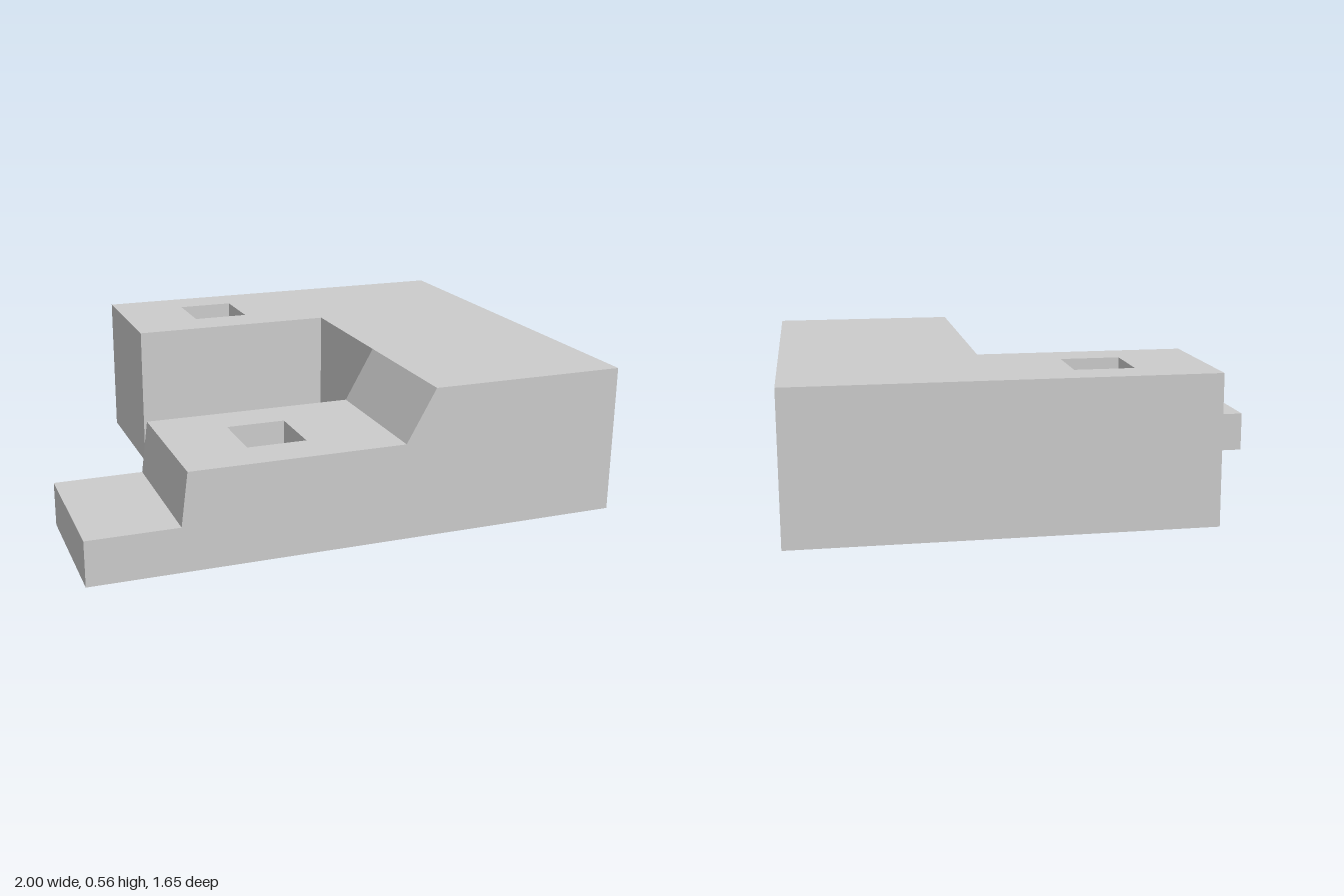
import * as THREE from 'three';

const H = 0.555, STEP = 0.165, DECK = 0.36, POCKET = 0.195, INNER = 0.27, OUTER = 0.825, SPINE = 0.26;

// Plan outline of [x, z] points
const trace = (path, pts) => {
  pts.forEach(([x, z], i) => (i ? path.lineTo(x, -z) : path.moveTo(x, -z)));
  path.closePath();
  return path;
};
const rect = (x0, x1, z0, z1) => [[x0, z0], [x0, z1], [x1, z1], [x1, z0]];

// Raise a plan outline, with an optional hole, from y0 to y1
function slab(pts, y0, y1, hole) {
  const shape = trace(new THREE.Shape(), pts);
  if (hole) shape.holes.push(trace(new THREE.Path(), hole));
  const geo = new THREE.ExtrudeGeometry(shape, { depth: y1 - y0, bevelEnabled: false });
  return geo.rotateX(-Math.PI / 2).translate(0, y0, 0);
}

export function createModel() {
  const group = new THREE.Group();
  const material = new THREE.MeshStandardMaterial({ color: 0xcccccc });
  const add = (name, geo) => {
    const mesh = new THREE.Mesh(geo, material);
    mesh.name = name;
    group.add(mesh);
  };

  // Full-height spine and back arm, with a blind square pocket
  const backPocket = rect(-0.25, -0.03, -0.67, -0.435);
  add('mainBody', slab([[1, -OUTER], [-0.53, -OUTER], [-0.53, -0.275], [SPINE, -0.275],
    [SPINE, OUTER], [1, OUTER]], 0, H, backPocket));
  add('backPocketFloor', slab(backPocket, 0, H - POCKET));

  // Low front arm
  add('frontStep', slab(rect(-1, SPINE, INNER, OUTER), 0, STEP));

  // Raised deck with a pocket; its end wall leans inward
  const frontPocket = rect(-0.385, -0.165, 0.43, 0.665);
  const deck = slab(rect(-0.67, SPINE, INNER, OUTER), STEP, DECK, frontPocket);
  const pos = deck.attributes.position;
  for (let i = 0; i < pos.count; i++) {
    if (pos.getX(i) < -0.6 && pos.getY(i) > 0.3) pos.setX(i, -0.645);
  }
  deck.computeVertexNormals();
  add('frontDeck', deck);

  // Sloped ramp from the deck up to the spine
  const wedge = new THREE.Shape([[0.15, DECK], [SPINE, DECK], [SPINE, H]].map(([x, y]) => new THREE.Vector2(x, y)));
  add('ramp', new THREE.ExtrudeGeometry(wedge, { depth: OUTER - INNER, bevelEnabled: false }).translate(0, 0, INNER));

  return group;
}
